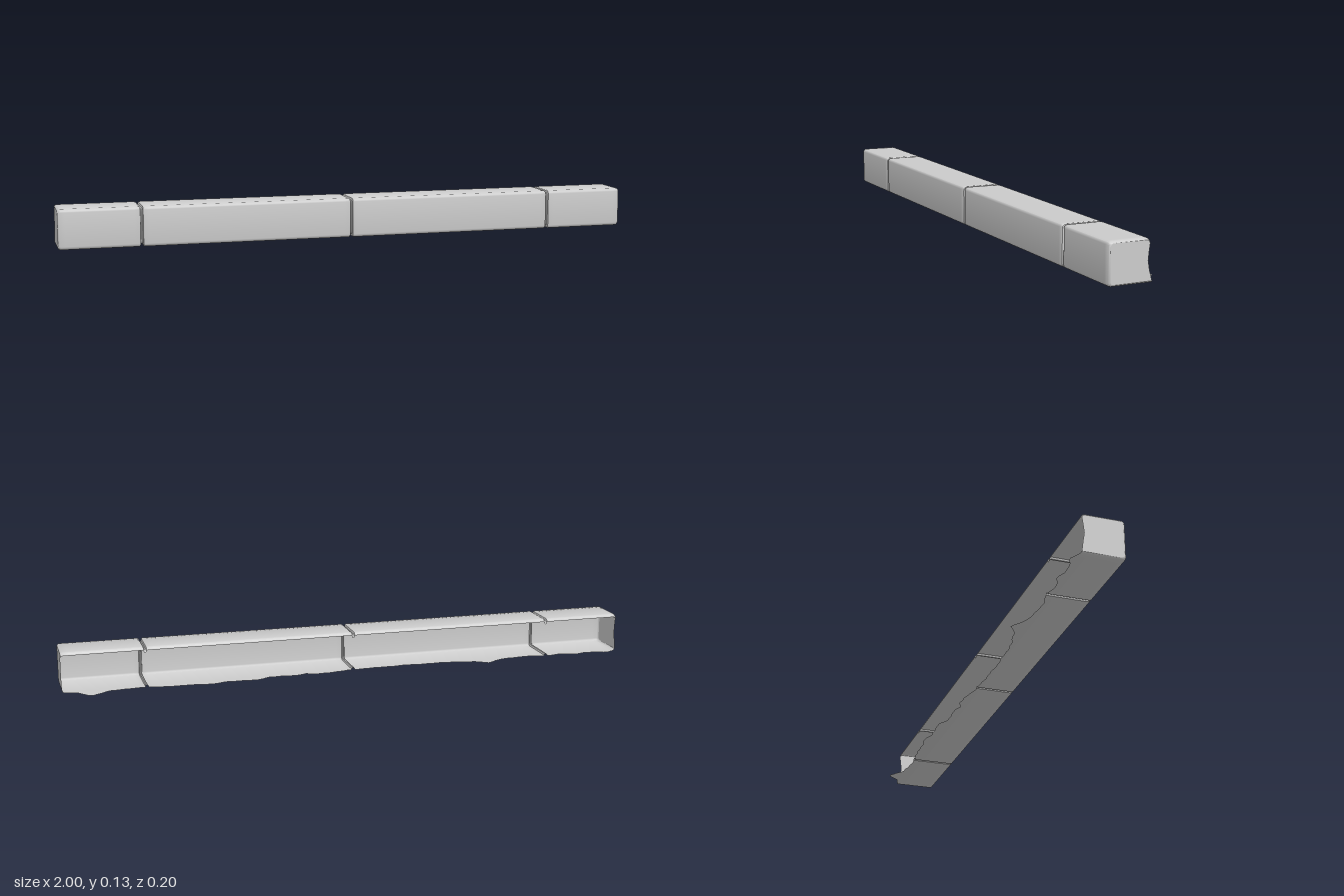
import * as THREE from 'three';
import { toCreasedNormals } from 'three/addons/utils/BufferGeometryUtils.js';

const TOP = 0.137, FRONT = 0.101, BACK = -0.037, R = 0.011;

// Torn rear edge of the underside: [x, z] along the beam
const TORN = [
  [-1, -0.04], [-0.96, -0.062], [-0.93, -0.05], [-0.88, -0.045], [-0.83, -0.055], [-0.8, -0.04],
  [-0.72, -0.046], [-0.66, -0.035], [-0.6, -0.038], [-0.55, -0.048], [-0.49, -0.079], [-0.45, -0.05],
  [-0.43, -0.054], [-0.38, -0.035], [-0.2, -0.028], [0, -0.034], [0.05, -0.044], [0.14, -0.054],
  [0.17, -0.038], [0.2, -0.05], [0.3, -0.047], [0.35, -0.07], [0.45, -0.06], [0.5, -0.079],
  [0.55, -0.065], [0.62, -0.068], [0.7, -0.055], [0.78, -0.053], [0.85, -0.065], [0.91, -0.104],
  [0.95, -0.06], [1, -0.045],
];

function tornZ(x) {
  let i = 1;
  while (i < TORN.length - 1 && TORN[i][0] < x) i++;
  const [a, b] = [TORN[i - 1], TORN[i]];
  return THREE.MathUtils.lerp(a[1], b[1], (x - a[0]) / (b[0] - a[0])) + 0.003 * Math.sin(x * 91) * Math.cos(x * 37);
}

// Open [z, y] section: rear lip, top, front, underside, torn edge
function section(x, inset) {
  const t = TOP - inset, f = FRONT - inset, b = 0.002 + inset, pts = [];
  const arc = (cz, cy, from) => {
    for (let k = 0; k <= 4; k++) {
      const a = from - (k / 4) * Math.PI / 2;
      pts.push([cz + R * Math.cos(a), cy + R * Math.sin(a)]);
    }
  };
  arc(BACK + R, t - R, Math.PI);
  arc(f - R, t - R, Math.PI / 2);
  arc(f - R, b + R, 0);
  pts.push([BACK + 0.012, b], [tornZ(x), b]);
  return pts;
}

// Skin of one block, swept from x0 to x1 with inset rims
function blockSkin(x0, x1, rim0, rim1) {
  const stations = [...rim0.map(([d, i]) => [x0 + d, i])];
  const a = x0 + rim0.at(-1)[0], b = x1 - rim1.at(-1)[0], n = Math.ceil((b - a) / 0.015);
  for (let i = 1; i < n; i++) stations.push([a + (b - a) * i / n, 0]);
  stations.push(...rim1.map(([d, i]) => [x1 - d, i]).reverse());
  const pos = [], idx = [];
  stations.forEach(([x, inset], s) => {
    const pts = section(x, inset), m = pts.length;
    pts.forEach(([z, y], k) => {
      pos.push(x, y, z);
      if (s && k) {
        const p = (s - 1) * m + k - 1, q = s * m + k - 1;
        idx.push(p, p + 1, q, q, p + 1, q + 1);
      }
    });
  });
  const g = new THREE.BufferGeometry();
  g.setAttribute('position', new THREE.Float32BufferAttribute(pos, 3));
  g.setIndex(idx);
  return toCreasedNormals(g, 0.7);
}

// Flat end wall closing the beam, with a worn rear edge
function endWall(side) {
  const pts = section(side, 0.006).map(([z, y]) => new THREE.Vector2(-z, y));
  pts.push(...[[-0.036, 0.04], [-0.031, 0.07], [-0.034, 0.1]].map(([z, y]) => new THREE.Vector2(-z, y)));
  return new THREE.ShapeGeometry(new THREE.Shape(pts)).rotateY(Math.PI / 2).translate(side, 0, 0);
}

export function createModel() {
  const group = new THREE.Group();
  const stone = new THREE.MeshStandardMaterial({ color: 0xcccccc, side: THREE.DoubleSide });
  stone.name = 'grey stone';
  const add = (name, geometry) => {
    const mesh = new THREE.Mesh(geometry, stone);
    mesh.name = name;
    group.add(mesh);
  };

  // Four blocks separated by narrow grooves
  const joints = [-1, -0.725, -0.004, 0.72, 1];
  const groove = [[0, 0.009], [0.003, 0.008], [0.005, 0.002], [0.009, 0]];
  const rounded = [[0, 0.006], [0.002, 0.003], [0.005, 0.001], [0.009, 0]];
  for (let i = 0; i < 4; i++) {
    add(`block${i + 1}`, blockSkin(joints[i], joints[i + 1], i === 0 ? rounded : groove, i === 3 ? rounded : groove));
  }

  add('rightEndWall', endWall(-1));
  add('leftEndWall', endWall(1));
  // Face the right wall outwards
  const wall = group.getObjectByName('rightEndWall').geometry;
  wall.setIndex([...wall.index.array].reverse());
  wall.computeVertexNormals();
  return group;
}
